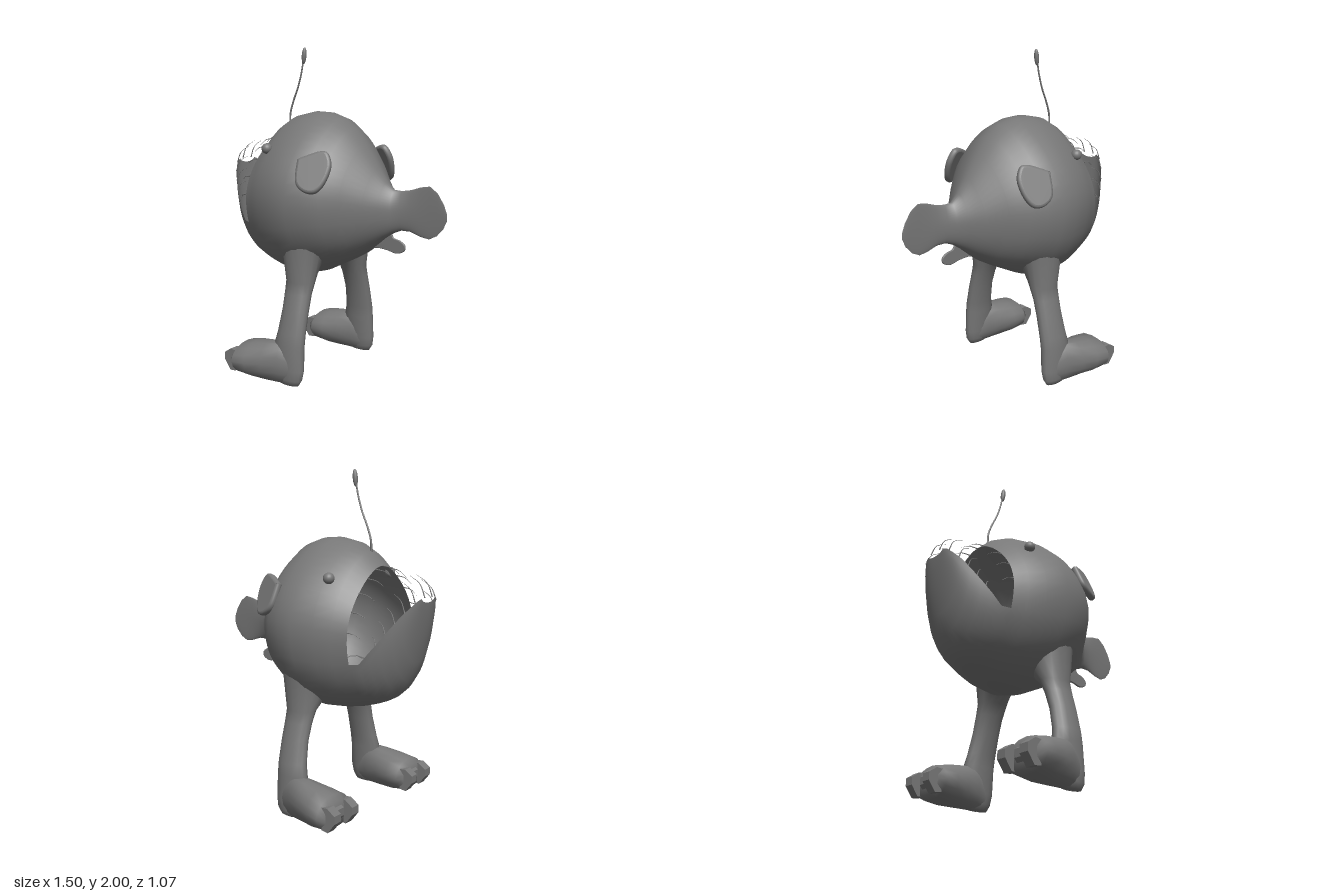
import * as THREE from 'three';
import { mergeGeometries, mergeVertices } from 'three/addons/utils/BufferGeometryUtils.js';

const material = new THREE.MeshStandardMaterial({ color: 0x787878, side: THREE.DoubleSide });
const V = (x, y, z) => new THREE.Vector3(x, y, z);

function add(parent, name, geometry) {
  const mesh = new THREE.Mesh(geometry, material);
  mesh.name = name;
  parent.add(mesh);
  return mesh;
}

// Skin a surface over rows of points
function loft(rows, closed) {
  const n = rows[0].length, index = [];
  for (let i = 0; i < rows.length - 1; i++) {
    for (let j = 0; j < (closed ? n : n - 1); j++) {
      const k = (j + 1) % n, a = i * n, b = a + n;
      index.push(a + j, b + j, b + k, a + j, b + k, a + k);
    }
  }
  const g = new THREE.BufferGeometry().setFromPoints(rows.flat());
  g.setIndex(index);
  g.computeVertexNormals();
  return g;
}

// Tube that tapers towards its end
function taperedTube(points, radius, end, segments = 8, sides = 6) {
  const curve = new THREE.CatmullRomCurve3(points);
  const g = new THREE.TubeGeometry(curve, segments, radius, sides);
  const p = g.attributes.position, v = V(0, 0, 0);
  for (let i = 0; i < p.count; i++) {
    const u = g.attributes.uv.getX(i);
    const c = curve.getPointAt(u);
    v.fromBufferAttribute(p, i).sub(c).multiplyScalar(1 + (end - 1) * u).add(c);
    p.setXYZ(i, v.x, v.y, v.z);
  }
  return g;
}

// Thin rounded fin cut from a smooth outline in the xy plane
function finGeometry(outline, depth, bevel) {
  const shape = new THREE.Shape();
  shape.moveTo(...outline[0]);
  shape.splineThru([...outline.slice(1), outline[0]].map(p => new THREE.Vector2(...p)));
  const g = new THREE.ExtrudeGeometry(shape, {
    depth, curveSegments: 30, bevelSegments: 3, bevelSize: bevel, bevelOffset: -bevel, bevelThickness: bevel
  }).translate(0, 0, -depth / 2);
  g.deleteAttribute('uv');
  g.deleteAttribute('normal');
  const smooth = mergeVertices(g);
  smooth.computeVertexNormals();
  return smooth;
}

// Point of a body cross-section at angle a, narrowing towards the crown
function sectionPoint([x, top, bottom, mid, w], a) {
  const s = Math.sin(a);
  return V(x, mid + s * (s > 0 ? top - mid : mid - bottom), w * Math.cos(a) * (1 - 0.3 * Math.max(0, s) ** 2));
}
const arc = (s, a0, a1, n) =>
  Array.from({ length: n + 1 }, (_, i) => sectionPoint(s, a0 + (a1 - a0) * i / n));

// Body and tail sections: x, top, bottom, height of widest point, half width
const bodySections = [
  [-0.45, 1.46, 0.665, 1.08, 0.33], [-0.37, 1.54, 0.64, 1.09, 0.37], [-0.28, 1.59, 0.622, 1.1, 0.415],
  [-0.15, 1.617, 0.612, 1.12, 0.452], [-0.05, 1.612, 0.64, 1.12, 0.445], [0.05, 1.58, 0.69, 1.12, 0.415],
  [0.13, 1.52, 0.73, 1.11, 0.36], [0.21, 1.43, 0.775, 1.1, 0.275], [0.3, 1.3, 0.84, 1.08, 0.175],
  [0.36, 1.22, 0.89, 1.07, 0.11], [0.41, 1.178, 0.925, 1.06, 0.055], [0.46, 1.175, 0.945, 1.06, 0.03],
  [0.52, 1.185, 0.945, 1.06, 0.018], [0.58, 1.205, 0.925, 1.06, 0.01], [0.64, 1.215, 0.915, 1.06, 0.007],
  [0.69, 1.18, 0.94, 1.06, 0.005], [0.73, 1.12, 0.985, 1.05, 0.004], [0.75, 1.07, 1.03, 1.05, 0.002]
];
// Jaw sections: x, rim, bottom, height of widest point, half width
const jawSections = [
  [-0.75, 1.3, 1.275, 1.3, 0.065], [-0.742, 1.288, 1.19, 1.288, 0.095], [-0.72, 1.255, 1.08, 1.255, 0.13],
  [-0.69, 1.215, 0.935, 1.215, 0.165], [-0.65, 1.155, 0.825, 1.155, 0.2], [-0.6, 1.08, 0.755, 1.1, 0.24],
  [-0.55, 1.01, 0.712, 1.08, 0.275], [-0.5, 0.945, 0.685, 1.07, 0.305], [-0.45, 0.94, 0.665, 1.08, 0.33]
];
const rimAngle = ([, rim, bottom, mid]) => Math.asin((rim - mid) / (mid - bottom));

// Height of the belly surface above a point
function bellyHeight(x, z) {
  const i = bodySections.findIndex(s => s[0] > x);
  const a = bodySections[i - 1], b = bodySections[i], t = (x - a[0]) / (b[0] - a[0]);
  const [, , bottom, mid, w] = a.map((v, k) => v + (b[k] - v) * t);
  return mid - (mid - bottom) * Math.sqrt(Math.max(0, 1 - (z / w) ** 2));
}

// Leg sections: y, centre x, centre z, radius x, radius z; the last one follows the belly
const legSections = [
  [0, -0.08, 0.375, 0.005, 0.005], [0.005, -0.08, 0.375, 0.07, 0.03], [0.04, -0.08, 0.375, 0.092, 0.045],
  [0.1, -0.078, 0.37, 0.1, 0.052], [0.25, -0.085, 0.362, 0.105, 0.058], [0.32, -0.076, 0.352, 0.097, 0.057],
  [0.45, -0.07, 0.322, 0.09, 0.058], [0.55, -0.072, 0.293, 0.091, 0.062], [0.62, -0.073, 0.268, 0.096, 0.073],
  [null, -0.07, 0.252, 0.125, 0.102]
];
// Foot sections: x, top, bottom, half width, centre z
const footSections = [
  [-0.445, 0.12, 0.1, 0.01, 0.385], [-0.44, 0.185, 0.04, 0.115, 0.385], [-0.405, 0.215, 0.018, 0.147, 0.387],
  [-0.32, 0.235, 0.003, 0.135, 0.383], [-0.22, 0.25, 0, 0.105, 0.38], [-0.12, 0.26, 0, 0.075, 0.375],
  [-0.03, 0.2, 0.01, 0.04, 0.37]
];

function makeSide(left) {
  const side = new THREE.Group();
  side.name = left ? 'leftSide' : 'rightSide';

  const ring = Array.from({ length: 16 }, (_, i) => i * Math.PI / 8);
  add(side, 'leg', loft(legSections.map(([y, cx, cz, rx, rz]) => ring.map(a => {
    const x = cx + rx * Math.cos(a), z = cz + rz * Math.sin(a);
    return V(x, y ?? bellyHeight(x, z) + 0.006, z);
  })), true));
  add(side, 'foot', loft(footSections.map(([x, top, bottom, w, cz]) => ring.map(a =>
    V(x, (top + bottom) / 2 + (top - bottom) / 2 * Math.sin(a), cz + w * Math.cos(a)))), true));

  // Angular toes, the middle one shorter
  const toe = new THREE.Shape([[-0.41, 0.175], [-0.45, 0.178], [-0.5, 0.145], [-0.5, 0.1], [-0.455, 0.04], [-0.41, 0.045]]
    .map(p => new THREE.Vector2(...p)));
  for (const [x, z] of [[0, 0.307], [0.04, 0.387], [0, 0.466]]) {
    add(side, 'toe', new THREE.ExtrudeGeometry(toe, { depth: 0.058, bevelEnabled: false })).position.set(x, 0, z - 0.029);
  }

  // Eye and side fin
  add(side, 'eye', new THREE.SphereGeometry(0.032, 20, 14)).position.set(-0.3, 1.4, 0.298);
  const fin = add(side, 'sideFin', finGeometry([[-0.1, 0.06], [-0.05, 0.09], [0.02, 0.125], [0.07, 0.122],
    [0.105, 0.05], [0.092, -0.05], [0.05, -0.115], [-0.02, -0.12], [-0.08, -0.07]], 0.008, 0.016));
  fin.position.set(0.09, 1.29, 0.362);
  fin.rotation.set(-0.4, 0.32, 0);

  if (!left) side.scale.z = -1;
  return side;
}

export function createModel() {
  const model = new THREE.Group();
  model.name = 'walkingFish';

  // Hollow body, with the jaw joined to it along the throat
  const a0 = rimAngle(jawSections[jawSections.length - 1]);
  const bodyRows = bodySections.map(s =>
    [...arc(s, -Math.PI - a0, a0, 24), ...arc(s, a0, Math.PI - a0, 28).slice(1, -1)]);
  const jawRows = jawSections.map(s => arc(s, -Math.PI - rimAngle(s), rimAngle(s), 24));
  const skin = mergeVertices(mergeGeometries([loft(bodyRows, true), loft(jawRows, false)].map(g => {
    g.deleteAttribute('normal');
    return g;
  })));
  skin.computeVertexNormals();
  add(model, 'bodyAndJaw', skin);

  // Upper teeth curve forward and down from the lip
  const teeth = new THREE.Group();
  teeth.name = 'teeth';
  model.add(teeth);
  for (let i = 0; i < 11; i++) {
    const p = sectionPoint(bodySections[0], 0.1 + (Math.PI - 0.2) * i / 10);
    const l = 0.065 + 0.055 * Math.sin(i / 10 * Math.PI);
    add(teeth, 'upperTooth', taperedTube([p, V(p.x - l * 0.55, p.y - l * 0.1, p.z * 0.97),
      V(p.x - l, p.y - l * 0.4, p.z * 0.92)], 0.0035, 0.1));
  }

  // Lower teeth rise from the rim and curve back
  const leftRim = jawRows.map(r => r[r.length - 1]), rightRim = jawRows.map(r => r[0]);
  const rim = new THREE.CatmullRomCurve3([...leftRim.slice(0, 7).reverse(), ...rightRim.slice(0, 7)]);
  for (let i = 0; i < 12; i++) {
    const p = rim.getPointAt(0.06 + 0.88 * i / 11);
    const l = 0.055 + 0.075 * Math.sin(i / 11 * Math.PI);
    add(teeth, 'lowerTooth', taperedTube([p, V(p.x + l * 0.25, p.y + l * 0.55, p.z * 0.97),
      V(p.x + l * 0.8, p.y + l * 0.9, p.z * 0.9)], 0.0035, 0.1));
  }

  // Lure on its stalk
  add(model, 'lureStalk', taperedTube([V(-0.37, 1.53, 0), V(-0.367, 1.6, 0), V(-0.34, 1.68, 0),
    V(-0.3, 1.77, 0), V(-0.27, 1.87, 0), V(-0.258, 1.94, 0)], 0.006, 0.8, 24, 8));
  const bulb = add(model, 'lureBulb', new THREE.SphereGeometry(1, 14, 12));
  bulb.scale.set(0.015, 0.05, 0.015);
  bulb.position.set(-0.253, 1.95, 0);
  bulb.rotation.z = -0.1;

  // Lower fin beneath the tail
  add(model, 'lowerFin', finGeometry([[0.2, 0.79], [0.28, 0.82], [0.36, 0.818], [0.43, 0.805], [0.48, 0.825],
    [0.485, 0.86], [0.45, 0.885], [0.41, 0.895], [0.38, 0.93], [0.28, 0.93]], 0.003, 0.005));

  model.add(makeSide(true), makeSide(false));
  return model;
}
